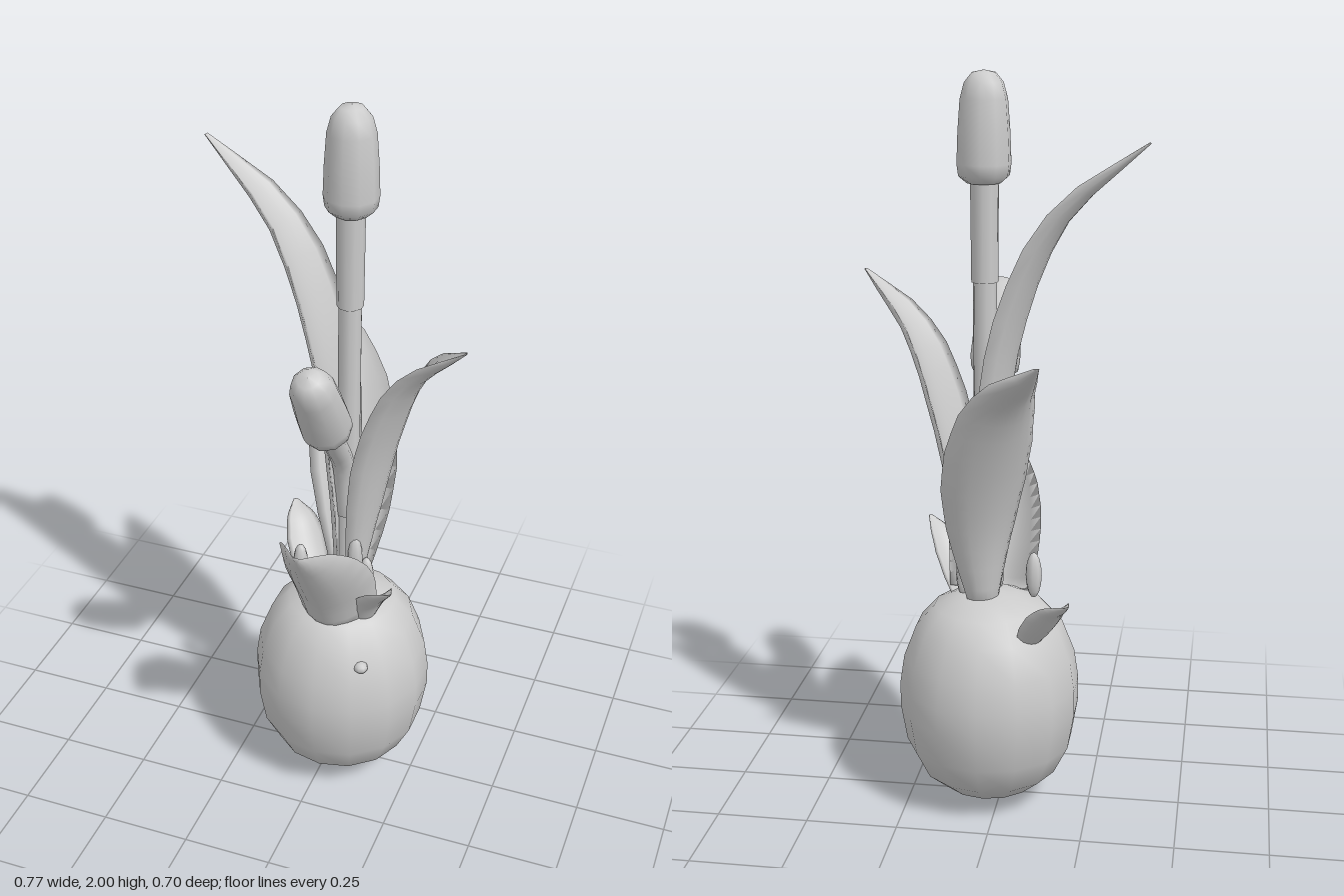
import * as THREE from 'three';

const mat = new THREE.MeshStandardMaterial({ color: 0xcccccc });
const V = (p) => new THREE.Vector3(...p);
const UP = new THREE.Vector3(0, 1, 0);

// Smooth value from a list of evenly spaced stops
function sample(list, t) {
  const f = t * (list.length - 1), i = Math.min(Math.floor(f), list.length - 2);
  return THREE.MathUtils.lerp(list[i], list[i + 1], f - i);
}

// Cupped solid blade swept along a curve; edges rise towards the inner side
function leafGeometry(points, widths, cup, thick, steps = 14) {
  const curve = new THREE.CatmullRomCurve3(points.map(V));
  const out = V(points[points.length - 1]).sub(V(points[0])).setY(0).normalize();
  const side = out.clone().cross(UP);
  const M = 8, ring = 2 * M, pos = [], idx = [];
  for (let i = 0; i <= steps; i++) {
    const t = i / steps, P = curve.getPointAt(t), T = curve.getTangentAt(t);
    const S = side.clone().addScaledVector(T, -side.dot(T)).normalize();
    const N = S.clone().cross(T);
    const w = sample(widths, t);
    const th = Math.min(thick, w * 0.5);
    for (let j = 0; j < ring; j++) {
      const k = j <= M ? -1 + 2 * j / M : 1 - 2 * (j - M) / M;
      const lift = w * cup * (k * k - 0.35) + (j <= M ? 0.5 : -0.5) * th * Math.sqrt(1 - k * k * 0.9);
      const q = P.clone().addScaledVector(S, w * k).addScaledVector(N, lift);
      pos.push(q.x, q.y, q.z);
    }
  }
  for (let i = 0; i < steps; i++)
    for (let j = 0; j < ring; j++) {
      const a = i * ring + j, b = i * ring + (j + 1) % ring;
      idx.push(a, b, b + ring, a, b + ring, a + ring);
    }
  // Close both ends
  for (let j = 1; j < ring - 1; j++) {
    const e = steps * ring;
    idx.push(0, j + 1, j, e, e + j, e + j + 1);
  }
  const g = new THREE.BufferGeometry();
  g.setAttribute('position', new THREE.Float32BufferAttribute(pos, 3));
  g.setIndex(idx);
  g.computeVertexNormals();
  return g;
}

const lathe = (profile, sides) =>
  new THREE.LatheGeometry(profile.map(([r, y]) => new THREE.Vector2(r, y)), sides);

const tube = (points, r) =>
  new THREE.TubeGeometry(new THREE.CatmullRomCurve3(points.map(V)), 10, r, 10);

export function createModel() {
  const group = new THREE.Group();
  const add = (name, geometry, at = [0, 0, 0]) => {
    const m = new THREE.Mesh(geometry, mat);
    m.name = name;
    m.position.set(...at);
    group.add(m);
    return m;
  };

  // Bulb with root plate
  add('bulb', lathe([[0, 0.02], [0.06, 0.024], [0.13, 0.05], [0.19, 0.1], [0.23, 0.18], [0.247, 0.28],
    [0.247, 0.35], [0.235, 0.43], [0.2, 0.52], [0.15, 0.575], [0.08, 0.605], [0, 0.615]], 14), [0.03, 0, -0.01]);
  const root = add('rootPlate', new THREE.TorusGeometry(0.024, 0.013, 6, 10), [0.035, 0.016, -0.02]);
  root.rotation.x = Math.PI / 2;

  // Small offset nub on the bulb
  const nub = add('nub', new THREE.SphereGeometry(0.02, 8, 6), [0.147, 0.482, 0.165]);
  nub.scale.set(1, 0.8, 1);

  // Main stalk, thicker in its upper part
  add('stalk', tube([[0.035, 0.58, -0.03], [0.035, 1.0, -0.04], [0.035, 1.49, -0.045]], 0.031));
  add('upperStalk', new THREE.CylinderGeometry(0.037, 0.035, 0.28, 10), [0.035, 1.61, -0.045]);

  // Closed flower buds
  const bud = [[0, 0], [0.045, 0.002], [0.066, 0.02], [0.07, 0.05], [0.067, 0.13],
    [0.061, 0.21], [0.05, 0.25], [0.03, 0.274], [0, 0.28]];
  add('topBud', lathe(bud, 10), [0.036, 1.72, -0.045]);
  const sideBud = add('sideBud', lathe(bud, 10), [0.036, 1.185, 0.115]);
  sideBud.scale.set(0.98, 1.0, 0.98);
  sideBud.quaternion.setFromUnitVectors(UP, V([0, 0.24, 0.145]).normalize());
  add('sideStalk', tube([[0.035, 0.85, -0.03], [0.035, 1.02, 0.0], [0.035, 1.12, 0.065], [0.036, 1.2, 0.125]], 0.03));

  // Leaves: centre line, half widths, cupping, thickness
  const leaves = [
    ['leftTallLeaf', [[0.02, 0.6, -0.03], [0.01, 1.0, -0.035], [-0.04, 1.35, -0.055], [-0.17, 1.65, -0.09], [-0.385, 1.835, -0.133]],
      [0.03, 0.05, 0.075, 0.09, 0.092, 0.08, 0.05, 0.006], 0.4, 0.022],
    ['rightTallLeaf', [[0.06, 0.6, -0.02], [0.095, 0.85, -0.035], [0.15, 1.12, -0.025], [0.235, 1.33, 0.015], [0.38, 1.47, 0.098]],
      [0.03, 0.05, 0.075, 0.09, 0.092, 0.08, 0.05, 0.006], 0.4, 0.022],
    ['backTallLeaf', [[0.035, 0.58, -0.05], [0.03, 0.8, -0.085], [0.0, 1.02, -0.155], [-0.05, 1.2, -0.24], [-0.138, 1.315, -0.345]],
      [0.04, 0.07, 0.1, 0.12, 0.122, 0.105, 0.068, 0.008], 0.4, 0.022],
    ['frontShortLeaf', [[0.032, 0.58, 0.09], [0.032, 0.68, 0.135], [0.032, 0.79, 0.205], [0.033, 0.89, 0.285], [0.034, 0.94, 0.345]],
      [0.115, 0.122, 0.128, 0.122, 0.105, 0.07, 0.01], 0.75, 0.025],
    ['rightSmallLeaf', [[0.12, 0.57, 0.06], [0.145, 0.64, 0.085], [0.185, 0.71, 0.13], [0.228, 0.758, 0.175]],
      [0.035, 0.05, 0.05, 0.035, 0.005], 0.4, 0.018],
    ['backSmallLeaf', [[-0.1, 0.52, -0.13], [-0.135, 0.58, -0.17], [-0.17, 0.64, -0.215], [-0.21, 0.677, -0.27]],
      [0.04, 0.057, 0.058, 0.042, 0.006], 0.4, 0.018],
  ];
  for (const [name, ...args] of leaves) add(name, leafGeometry(...args));

  // Tiny sprouts around the neck
  for (const [x, y, z, h] of [[0.1, 0.655, -0.01, 0.065], [-0.09, 0.66, 0.0, 0.065], [0.07, 0.72, 0.0, 0.075], [0.02, 0.64, 0.04, 0.05]])
    add('sprout', new THREE.SphereGeometry(1, 8, 8), [x, y, z]).scale.set(0.022, h, 0.022);

  return group;
}
